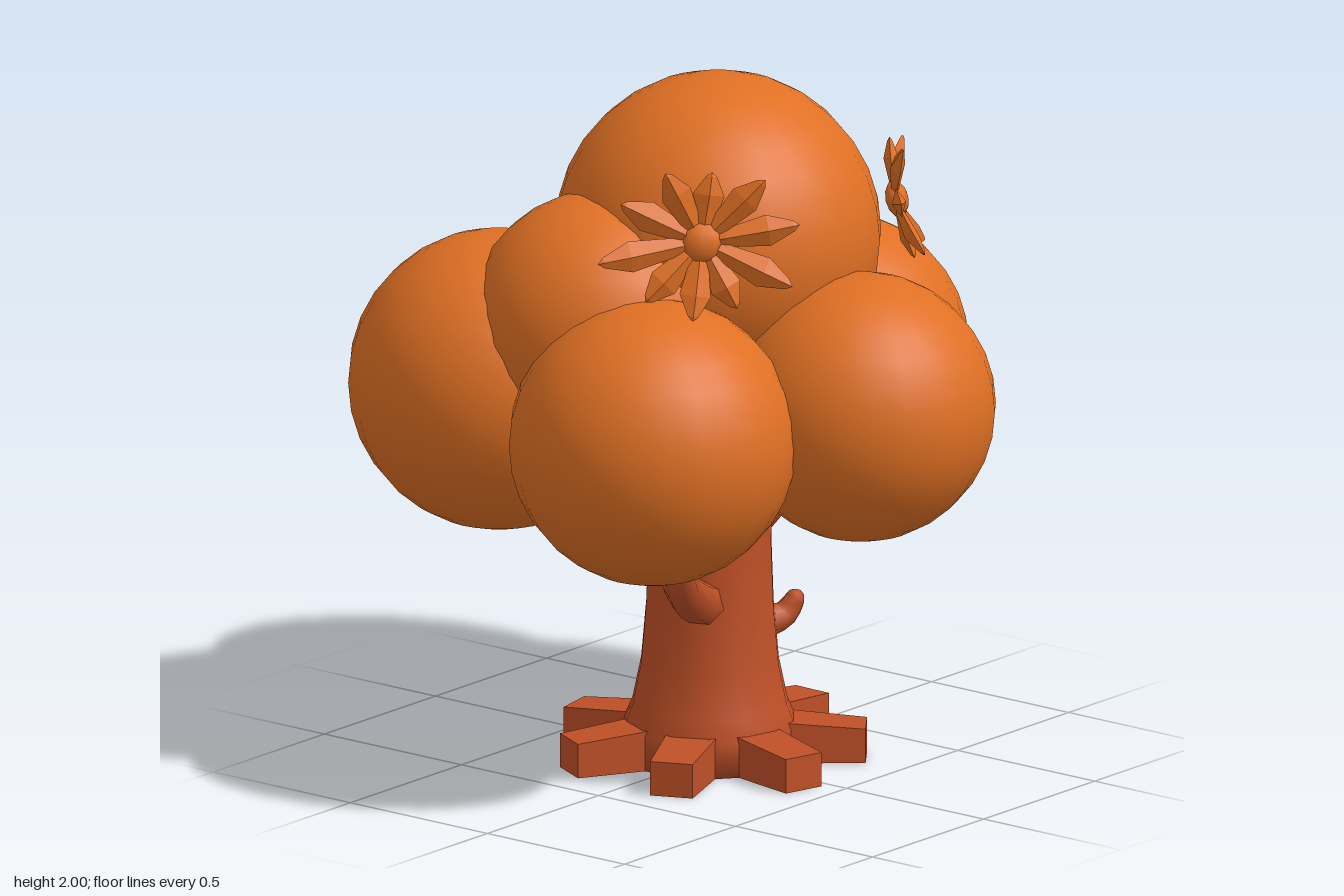
import * as THREE from 'three';

export function createModel() {
  const tree = new THREE.Group();
  tree.name = 'tree';
  const foliage = new THREE.MeshStandardMaterial({ color: 0xe07024 });
  foliage.name = 'orange foliage';
  const bark = new THREE.MeshStandardMaterial({ color: 0xbf5027 });
  bark.name = 'red brown bark';

  const add = (name, geometry, material, parent = tree) => {
    const mesh = new THREE.Mesh(geometry, material);
    mesh.name = name;
    parent.add(mesh);
    return mesh;
  };
  const faceted = (geometry) => {
    const flat = geometry.toNonIndexed();
    flat.computeVertexNormals();
    return flat;
  };

  // Canopy: overlapping round clumps [name, x, y, z, radius]
  const clumps = [
    ['crownClump', 0.05, 1.535, -0.01, 0.465],
    ['frontClump', 0.07, 1.11, 0.495, 0.385],
    ['rightClump', -0.49, 1.075, 0.19, 0.41],
    ['leftClump', 0.515, 1.105, 0.035, 0.385],
    ['backLeftClump', 0.4, 1.04, -0.46, 0.425],
    ['backRightClump', -0.38, 1.12, -0.46, 0.43],
    ['upperRightClump', -0.305, 1.32, -0.14, 0.385],
    ['upperLeftClump', 0.3, 1.26, -0.2, 0.345],
    ['innerClump', 0, 1.2, 0, 0.37],
  ];
  for (const [name, x, y, z, r] of clumps) {
    add(name, new THREE.SphereGeometry(r, 24, 16), foliage).position.set(x, y, z);
  }

  // Trunk flaring into the ground
  const trunkProfile = [
    [0, 0], [0.25, 0], [0.25, 0.1], [0.225, 0.16], [0.2, 0.28],
    [0.185, 0.45], [0.178, 0.65], [0.185, 0.8], [0.2, 0.95], [0, 0.95],
  ].map(([x, y]) => new THREE.Vector2(x, y));
  add('trunk', new THREE.LatheGeometry(trunkProfile, 14), bark).position.set(0.02, 0, -0.015);

  // Seven blocky roots, a little taller and wider at the trunk
  const roots = new THREE.Group();
  roots.name = 'roots';
  roots.position.set(0.02, 0, -0.01);
  tree.add(roots);
  for (let i = 0; i < 7; i++) {
    const geometry = new THREE.BoxGeometry(0.125, 0.1, 0.44, 1, 1, 3).translate(0, 0.05, 0.22);
    const p = geometry.attributes.position;
    for (let k = 0; k < p.count; k++) {
      const inner = Math.max(0, 1 - p.getZ(k) / 0.44);
      p.setX(k, p.getX(k) * (1 + 0.35 * inner));
      p.setY(k, p.getY(k) * (1 + 0.35 * inner));
    }
    const root = add('root', faceted(geometry), bark, roots);
    root.rotation.y = THREE.MathUtils.degToRad(37 + i * 360 / 7);
  }

  // Branches: tapering bent tubes with closed tips
  const branch = (name, points, r0, r1) => {
    const curve = new THREE.CatmullRomCurve3(points.map((p) => new THREE.Vector3(...p)));
    const rings = 6, sides = 7;
    const geometry = new THREE.TubeGeometry(curve, rings, r0, sides);
    const p = geometry.attributes.position;
    const v = new THREE.Vector3();
    for (let k = 0; k < p.count; k++) {
      const t = Math.floor(k / (sides + 1)) / rings;
      const c = curve.getPointAt(t);
      v.fromBufferAttribute(p, k).sub(c).multiplyScalar(1 + (r1 / r0 - 1) * t).add(c);
      p.setXYZ(k, v.x, v.y, v.z);
    }
    add(name, geometry, bark);
    add(name + 'Tip', new THREE.SphereGeometry(r1, sides, 5), bark).position.set(...points[points.length - 1]);
  };
  branch('rightBranch', [[-0.05, 0.47, 0.04], [-0.2, 0.53, 0.1], [-0.34, 0.62, 0.17], [-0.42, 0.76, 0.2]], 0.07, 0.045);
  branch('upperRightBranch', [[-0.05, 0.65, 0], [-0.18, 0.73, 0.03], [-0.32, 0.85, 0.05]], 0.065, 0.05);
  branch('leftBranch', [[0.1, 0.63, 0], [0.25, 0.72, 0.02], [0.42, 0.82, 0.04]], 0.07, 0.05);
  branch('backBranch', [[0.07, 0.62, -0.05], [0.16, 0.69, -0.19], [0.24, 0.8, -0.32]], 0.07, 0.055);
  branch('stubBranch', [[0.14, 0.38, 0.06], [0.22, 0.39, 0.09], [0.255, 0.43, 0.105]], 0.055, 0.03);

  // Star shaped leaf sprays, wider than tall
  const spray = (name, position, normal, count, wide, tall, width) => {
    const group = new THREE.Group();
    group.name = name;
    group.position.set(...position);
    group.lookAt(new THREE.Vector3(...position).add(new THREE.Vector3(...normal)));
    tree.add(group);
    for (let i = 0; i < count; i++) {
      const a = (i + 0.25) / count * Math.PI * 2;
      const ripple = i % 2 ? 1 : 0.92;
      const length = ripple / Math.hypot(Math.sin(a) / wide, Math.cos(a) / tall);
      const profile = [[0, 0], [width * 0.6, length * 0.25], [width, length * 0.68], [width * 0.35, length * 0.94], [0, length]]
        .map(([x, y]) => new THREE.Vector2(x, y));
      const geometry = new THREE.LatheGeometry(profile, 4).scale(1, 1, 0.5);
      // Bend each leaf forward towards its tip
      const p = geometry.attributes.position;
      for (let k = 0; k < p.count; k++) {
        const t = p.getY(k) / length;
        p.setZ(k, p.getZ(k) + (i % 2 ? 0.05 : 0.015) * t * t);
      }
      add('leaf', faceted(geometry), foliage, group).rotation.z = -a;
    }
    add('leafCentre', new THREE.SphereGeometry(width * 1.3, 8, 6), foliage, group).scale.z = 0.6;
  };
  spray('rightLeafSpray', [-0.405, 1.665, 0.3], [-0.7, 0.15, 0.7], 10, 0.31, 0.22, 0.045);
  spray('leftLeafSpray', [0.535, 1.575, 0.25], [0.64, 0.2, 0.74], 8, 0.25, 0.19, 0.042);

  return tree;
}
